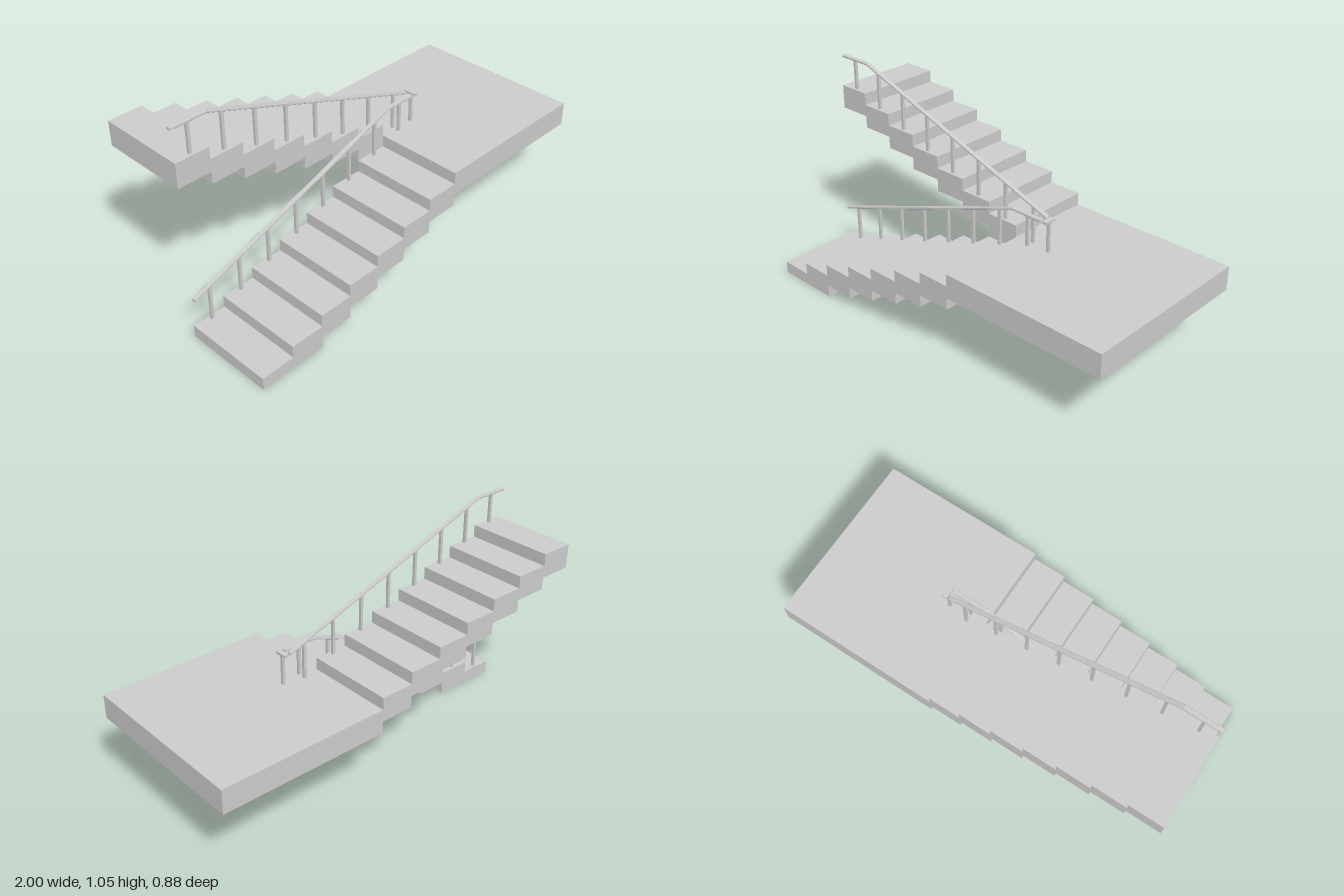
import * as THREE from 'three';

const RUN = 1 / 6, RISE = 0.0595, STEPS = 7, DEPTH = 0.44;
const SLOPE = RISE / RUN, LANDING_X = RUN, LANDING_Y = RISE * 8;
const RAIL_W = 0.022, RAIL_H = 0.012, RAIL_Z = 0.019, POST = 0.014;
const LOW_RAIL_Y = 0.63, RAIL_END = 0.335;

export function createModel() {
  const group = new THREE.Group();
  const material = new THREE.MeshStandardMaterial({ color: 0xcccccc, flatShading: true });

  const add = (name, geometry, x = 0, y = 0, z = 0) => {
    const mesh = new THREE.Mesh(geometry, material);
    mesh.name = name;
    mesh.position.set(x, y, z);
    group.add(mesh);
  };
  const toShape = (points) => new THREE.Shape(points.map(([x, y]) => new THREE.Vector2(x, y)));

  // Stepped slab: the underside follows the treads two risers lower
  const flight = (name, topOf, z) => {
    const top = [], bottom = [];
    for (let i = 0; i < STEPS; i++) {
      const x0 = -1 + i * RUN, x1 = x0 + RUN, y = topOf(i);
      top.push([x0, y], [x1, y]);
      bottom.push([x0, y - 2 * RISE], [x1, y - 2 * RISE]);
    }
    // The first lower step rests on the ground
    for (const p of bottom) p[1] = Math.max(0, p[1]);
    const shape = toShape([...bottom, ...top.reverse()]);
    add(name, new THREE.ExtrudeGeometry(shape, { depth: DEPTH, bevelEnabled: false }), 0, 0, z);
  };
  const lowerTop = (i) => RISE * (i + 1);
  const upperTop = (i) => LANDING_Y + RISE * (STEPS - i);
  flight('lowerFlight', lowerTop, 0);
  flight('upperFlight', upperTop, -DEPTH);

  // Landing
  const landingW = 1 - LANDING_X;
  add('landing', new THREE.BoxGeometry(landingW, 2 * RISE, 2 * DEPTH),
    LANDING_X + landingW / 2, LANDING_Y - RISE, 0);

  // Handrail with slightly chamfered edges, swept along a centre line
  const handrail = (name, line, z) => {
    const h = RAIL_H / 2, c = 0.002;
    const shape = toShape([
      ...line.map(([x, y]) => [x, y - h]),
      ...line.map(([x, y]) => [x, y + h]).reverse(),
    ]);
    const geometry = new THREE.ExtrudeGeometry(shape, {
      depth: RAIL_W - 2 * c, bevelThickness: c, bevelSize: c, bevelOffset: -c, bevelSegments: 1,
    });
    add(name, geometry, 0, 0, z - RAIL_W / 2 + c);
  };
  const lowerRailY = (x) => LOW_RAIL_Y + SLOPE * Math.min(0, x - LANDING_X);
  const bendX = -0.822;
  const upperRailY = (x) => LOW_RAIL_Y + SLOPE * (RAIL_END - Math.max(x, bendX));
  handrail('lowerHandrail', [-1, LANDING_X, RAIL_END].map((x) => [x, lowerRailY(x)]), RAIL_Z);
  handrail('upperHandrail', [-1, bendX, RAIL_END].map((x) => [x, upperRailY(x)]), -RAIL_Z);

  // Posts, one per tread plus one on the landing
  const post = (name, x, base, top, z) =>
    add(name, new THREE.BoxGeometry(POST, top - base, POST), x, (base + top) / 2, z);
  for (let i = 0; i <= STEPS; i++) {
    const x = -1 + (i + 0.5) * RUN + 0.002;
    post('lowerPost', x, lowerTop(i), lowerRailY(x), RAIL_Z);
    post('upperPost', x, upperTop(i), upperRailY(x), -RAIL_Z);
  }

  // Short cross rail and its post at the turn
  add('turnRail', new THREE.BoxGeometry(0.024, RAIL_H, 0.06), 0.357, LOW_RAIL_Y, 0);
  post('turnPost', 0.357, LANDING_Y, LOW_RAIL_Y, 0);

  return group;
}
